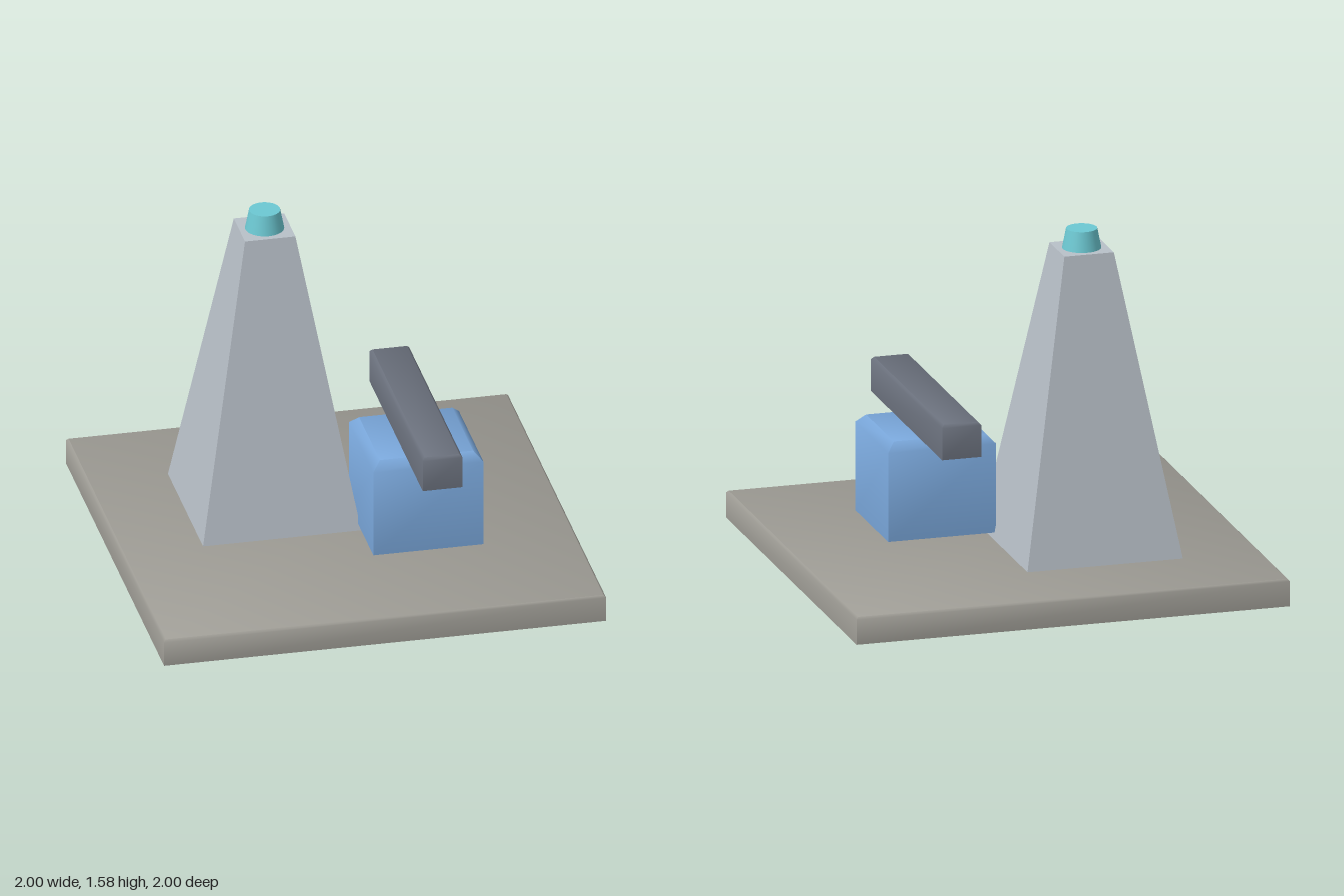
import * as THREE from 'three';
import { toCreasedNormals } from 'three/addons/utils/BufferGeometryUtils.js';

const mat = (name, color) => {
  const m = new THREE.MeshStandardMaterial({ color });
  m.name = name;
  return m;
};

// Box standing on y = 0 whose upper rim is pulled inward above the shoulder height
function bevelTopBox(w, h, d, shoulder, inset) {
  const geo = new THREE.BoxGeometry(w, h, d, 1, 2, 1).translate(0, h / 2, 0);
  const p = geo.attributes.position;
  for (let i = 0; i < p.count; i++) {
    const y = p.getY(i);
    if (y > h * 0.75) {
      p.setX(i, p.getX(i) - Math.sign(p.getX(i)) * inset);
      p.setZ(i, p.getZ(i) - Math.sign(p.getZ(i)) * inset);
    } else if (y > h * 0.25) {
      p.setY(i, shoulder);
    }
  }
  return toCreasedNormals(geo, THREE.MathUtils.degToRad(50));
}

// Four-sided tapering tower with flat faces
function taperedBox(bottom, top, h) {
  const geo = new THREE.BoxGeometry(bottom, h, bottom).translate(0, h / 2, 0);
  const p = geo.attributes.position;
  for (let i = 0; i < p.count; i++) {
    if (p.getY(i) > h / 2) {
      p.setX(i, Math.sign(p.getX(i)) * top / 2);
      p.setZ(i, Math.sign(p.getZ(i)) * top / 2);
    }
  }
  geo.computeVertexNormals();
  return geo;
}

export function createModel() {
  const group = new THREE.Group();
  const add = (name, geo, material, x, y, z) => {
    const mesh = new THREE.Mesh(geo, material);
    mesh.name = name;
    mesh.position.set(x, y, z);
    group.add(mesh);
  };

  // Square slab with a fine bevelled rim
  add('baseSlab', bevelTopBox(2, 0.125, 2, 0.115, 0.01), mat('warm grey', 0x9d9b94), 0, 0, 0);

  // Tower and its round cap
  add('tower', taperedBox(0.716, 0.228, 1.365), mat('light grey', 0xb8c0c8), -0.277, 0.125, -0.207);
  add('towerCap', new THREE.CylinderGeometry(0.069, 0.087, 0.09, 32), mat('turquoise', 0x6cc8d2), -0.277, 1.535, -0.207);

  // Block hovering just above the slab, with a beam lying across it
  add('block', bevelTopBox(0.498, 0.45, 0.5, 0.41, 0.038), mat('blue', 0x78a5d8), 0.317, 0.155, 0.205);
  add('beam', bevelTopBox(0.18, 0.16, 1.09, 0.147, 0.012), mat('dark grey', 0x6a707c), 0.316, 0.605, 0.205);

  return group;
}
